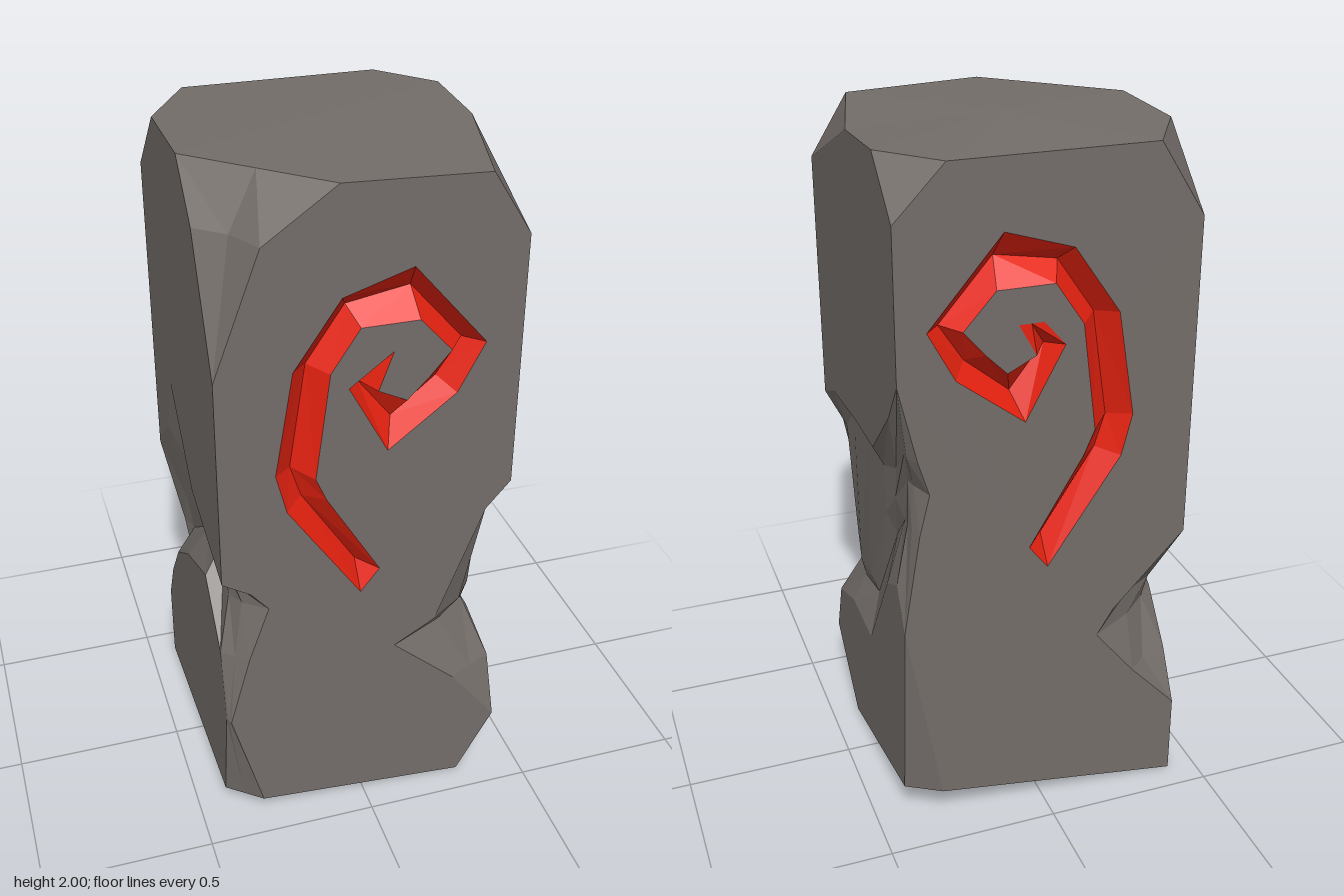
import * as THREE from 'three';

const H = 0.417; // half width of the pillar
const V = (x, y, z) => new THREE.Vector3(x, y, z);

// Collects flat triangles, turning each one to face along a hint direction
class Facets {
  constructor() { this.pos = []; }
  tri(a, b, c, hint) {
    const n = b.clone().sub(a).cross(c.clone().sub(a));
    if (n.length() < 1e-7) return;
    const order = n.dot(hint) < 0 ? [a, c, b] : [a, b, c];
    order.forEach(p => this.pos.push(p.x, p.y, p.z));
  }
  quad(a, b, c, d, hint) { this.tri(a, b, c, hint); this.tri(a, c, d, hint); }
  // Strip between two rows of points
  strip(rowA, rowB, hint) {
    for (let i = 0; i < rowA.length - 1; i++) this.quad(rowA[i], rowA[i + 1], rowB[i + 1], rowB[i], hint);
  }
  // Flat polygon with holes; flat() projects a point to 2D
  panel(outline, holes, flat, hint) {
    const all = [outline, ...holes].flat();
    const faces = THREE.ShapeUtils.triangulateShape(outline.map(flat), holes.map(h => h.map(flat)));
    faces.forEach(([a, b, c]) => this.tri(all[a], all[b], all[c], hint));
  }
  mesh(name, material) {
    const g = new THREE.BufferGeometry();
    g.setAttribute('position', new THREE.Float32BufferAttribute(this.pos, 3));
    g.computeVertexNormals();
    const m = new THREE.Mesh(g, material);
    m.name = name;
    return m;
  }
}

// Vertical corners, bottom to top:
// [height, cut along z face, cut along x face, depth of cut, inset of the x face]
const CORNERS = {
  frontRight: [-1, 1, [[0.05, 0.1, 0.08], [0.38, 0.01, 0.02], [0.6, 0.07, 0.06], [0.77, 0.13, 0.1, 0.5, 0.04],
    [0.83, 0.08, 0.1, 0.6, 0.04], [0.88, 0, 0], [1.5, 0, 0], [1.85, 0.13, 0.17, 0.6], [1.99, 0.33, 0.31]]],
  frontLeft: [1, 1, [[0, 0.11, 0.22], [0.2, 0, 0], [0.38, 0.14, 0.07], [0.55, 0.33, 0.16, 0.5, 0.06],
    [0.62, 0.21, 0.14, 0.5, 0.05], [0.98, 0.07, 0.1, 0.5, 0.04], [1.06, 0, 0], [1.8, 0, 0], [1.975, 0.11, 0.42]]],
  backLeft: [1, -1, [[0.11, 0.1, 0.06], [0.68, 0, 0], [0.98, 0.05, 0.08, 0.5, 0.04], [1.1, 0.08, 0.1, 0.7, 0.05],
    [1.2, 0.05, 0.06, 0.6, 0.03], [1.42, 0, 0], [1.84, 0, 0], [1.985, 0.14, 0.16]]],
  backRight: [-1, -1, [[0, 0, 0], [0.25, 0, 0], [0.4, 0.14, 0.08, 0.6], [0.55, 0.26, 0.15, 0.5, 0.05],
    [0.63, 0.21, 0.13, 0.6, 0.04], [0.85, 0, 0], [1.78, 0, 0], [1.985, 0.13, 0.22]]],
};

function cornerColumns([sx, sz, levels]) {
  return {
    sx, sz,
    f: levels.map(([y, a]) => V(sx * (H - a), y, sz * H)),
    m: levels.map(([y, a, b, k = 0.5, d = 0]) => V(sx * (H - Math.max(a * k, d)), y, sz * (H - b * k))),
    s: levels.map(([y, , b, , d = 0]) => V(sx * (H - d), y, sz * (H - b))),
  };
}

// Broken gashes across the x faces, rows from lower rim to upper rim: [z, y, depth].
// They join the corner columns from the given level upward.
const GASHES = {
  1: { front: 2, back: 1, rows: [
    [[0.17, 0.44, 0], [-0.03, 0.43, 0], [-0.25, 0.75, 0], [-0.35, 0.8, 0]],
    [[0.2, 0.51, 0.05], [0.04, 0.54, 0.05], [-0.16, 0.85, 0.06], [-0.26, 0.95, 0.055]],
    [[0.23, 0.55, 0.045], [0.07, 0.58, 0.035], [-0.13, 0.91, 0.035], [-0.22, 1, 0.04]],
    [[0.22, 1.07, 0.04], [0.05, 1.09, 0.04], [-0.13, 1.06, 0.035], [-0.24, 1.1, 0.04]],
    [[0.3, 1.11, 0], [0.05, 1.13, 0], [-0.15, 1.13, 0], [-0.33, 1.3, 0]],
  ] },
  [-1]: { front: 2, back: 2, rows: [
    [[0.2, 0.76, 0], [-0.05, 0.66, 0], [-0.22, 0.55, 0]],
    [[0.15, 0.84, 0.07], [-0.05, 0.75, 0.07], [-0.24, 0.62, 0.06]],
    [[0.12, 0.91, 0.045], [-0.1, 0.92, 0.04], [-0.24, 0.75, 0.04]],
    [[0.07, 0.97, 0], [-0.17, 1.2, 0], [-0.26, 1, 0]],
  ] },
};

// Carved spiral: matching points on its outer and inner edges (x, y)
const OUTER = [[-0.02, 0.77], [-0.23, 1.08], [-0.26, 1.2], [-0.21, 1.5], [-0.08, 1.69], [0.11, 1.75],
  [0.315, 1.51], [0.24, 1.37], [0.05, 1.225], [-0.06, 1.43]];
const INNER = [[0.035, 0.84], [-0.12, 1.1], [-0.15, 1.17], [-0.11, 1.48], [-0.03, 1.6], [0.13, 1.6],
  [0.22, 1.5], [0.16, 1.43], [0.1, 1.37], [0.02, 1.41]];

// Both edges of a spiral: pointed on the front, slightly offset and blunt on the back
function spiralEdges(sz) {
  const front = sz > 0;
  const place = ([x, y]) => (front ? V(x, y, H) : V(x + 0.02, y + 0.045, -H));
  return {
    outer: [...OUTER, front ? [0.06, 1.52] : [0, 1.5]].map(place),
    inner: [...INNER, front ? [0.061, 1.52] : [0.07, 1.5]].map(place),
  };
}

function spiralGroove(sz, { outer, inner }, material) {
  const f = new Facets(), hint = V(0, 0, sz);
  const floor = outer.map((p, i) => p.clone().lerp(inner[i], 0.5));
  floor[0].lerp(floor[1], 0.15);
  floor.forEach((p, i) => { if (i < floor.length - 1) p.z -= sz * 0.06; });
  f.strip(outer, floor, hint);
  f.strip(inner, floor, hint);
  f.tri(outer[0], inner[0], floor[0], hint); // tail end
  return f.mesh(sz > 0 ? 'frontSpiral' : 'backSpiral', material);
}

const flatXY = p => new THREE.Vector2(p.x, p.y);
const flatZY = p => new THREE.Vector2(p.z, p.y);

export function createModel() {
  const group = new THREE.Group();
  group.name = 'carvedStonePillar';
  const stone = new THREE.MeshStandardMaterial({ color: 0x736d69 });
  stone.name = 'darkStone';
  const red = new THREE.MeshStandardMaterial({ color: 0xe62210 });
  red.name = 'redPaint';

  const fr = cornerColumns(CORNERS.frontRight), fl = cornerColumns(CORNERS.frontLeft);
  const bl = cornerColumns(CORNERS.backLeft), br = cornerColumns(CORNERS.backRight);

  // Front and back faces, pierced by the spirals
  for (const [sz, p, q] of [[1, fr, fl], [-1, br, bl]]) {
    const face = new Facets(), spiral = spiralEdges(sz);
    const hole = [...spiral.outer, ...spiral.inner.slice().reverse()];
    face.panel([...p.f, ...q.f.slice().reverse()], [hole], flatXY, V(0, 0, sz));
    group.add(face.mesh(sz > 0 ? 'frontFace' : 'backFace', stone));
    group.add(spiralGroove(sz, spiral, red));
  }

  // Side faces: flat above and below, with a gash between
  for (const [sx, p, q] of [[1, fl, bl], [-1, fr, br]]) {
    const face = new Facets(), hint = V(sx, 0, 0), gash = GASHES[sx];
    const rows = gash.rows.map((row, i) => [
      p.s[gash.front + i],
      ...row.map(([z, y, d]) => V(sx * (H - d), y, z)),
      q.s[gash.back + i],
    ]);
    for (let i = 0; i < rows.length - 1; i++) face.strip(rows[i], rows[i + 1], hint);
    const n = rows.length;
    face.panel([...rows[0], ...q.s.slice(0, gash.back).reverse(), ...p.s.slice(0, gash.front)], [], flatZY, hint);
    face.panel([...rows[n - 1], ...q.s.slice(gash.back + n), ...p.s.slice(gash.front + n).reverse()], [], flatZY, hint);
    group.add(face.mesh(sx > 0 ? 'leftFace' : 'rightFace', stone));
  }

  // Chipped vertical corners
  for (const c of [fr, fl, bl, br]) {
    const chips = new Facets(), hint = V(c.sx, 0, c.sz);
    chips.strip(c.f, c.m, hint);
    chips.strip(c.m, c.s, hint);
    group.add(chips.mesh((c.sz > 0 ? 'front' : 'back') + (c.sx > 0 ? 'Left' : 'Right') + 'Corner', stone));
  }

  // Top and bottom caps, fanned from a centre point
  for (const [name, end, y] of [['top', -1, 2], ['bottom', 0, 0]]) {
    const cap = new Facets(), hint = V(0, y - 1, 0), centre = V(0, y, -0.04);
    const e = c => [c.f.at(end), c.m.at(end), c.s.at(end)];
    const ring = [...e(fr).reverse(), ...e(fl), ...e(bl).reverse(), ...e(br)];
    ring.forEach((p, i) => cap.tri(centre, p, ring[(i + 1) % ring.length], hint));
    group.add(cap.mesh(name, stone));
  }
  return group;
}
